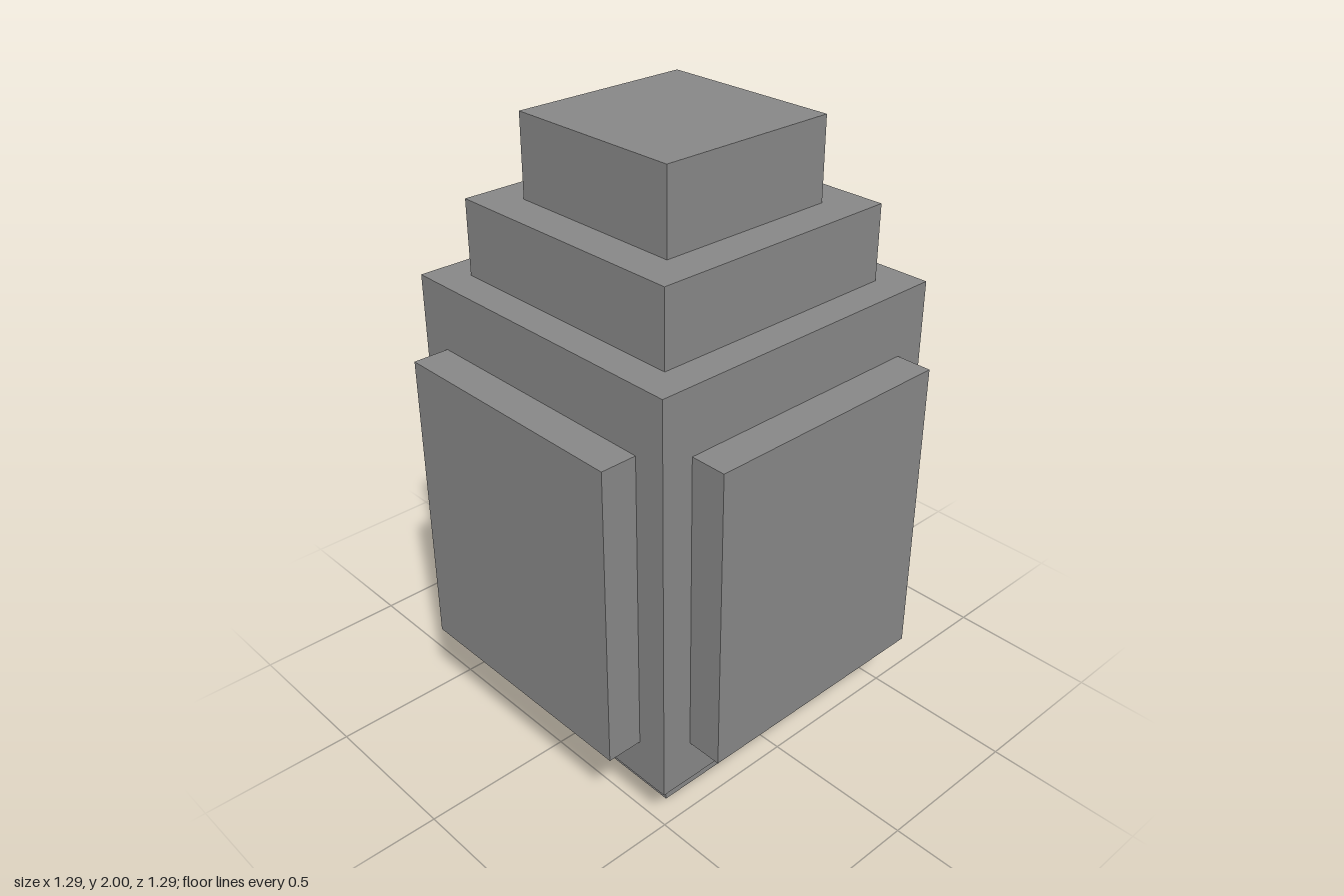
import * as THREE from 'three';

export function createModel() {
  const model = new THREE.Group();
  model.name = 'steppedBlock';
  const grey = new THREE.MeshStandardMaterial({ color: 0x888888 });
  grey.name = 'grey';

  // Box spanning y0..y1, centred on x and z
  function block(name, width, y0, y1, depth, parent = model) {
    const mesh = new THREE.Mesh(new THREE.BoxGeometry(width, y1 - y0, depth), grey);
    mesh.name = name;
    mesh.position.y = (y0 + y1) / 2;
    parent.add(mesh);
    return mesh;
  }

  // Stacked square tiers, bottom to top
  block('base', 0.845, 0, 0.16, 0.845);
  block('body', 1.055, 0.16, 1.5, 1.055);
  block('shoulder', 0.845, 1.5, 1.74, 0.845);
  block('cap', 0.605, 1.74, 2, 0.605);

  // One raised panel on each of the four sides
  const bodyHalf = 0.5275, panelOut = 0.645;
  ['front', 'left', 'back', 'right'].forEach((side, i) => {
    const pivot = new THREE.Group();
    pivot.name = side + 'Side';
    pivot.rotation.y = i * Math.PI / 2;
    const panel = block(side + 'Panel', 0.845, 0.3, 1.29, panelOut - bodyHalf, pivot);
    panel.position.z = (panelOut + bodyHalf) / 2;
    model.add(pivot);
  });

  return model;
}
